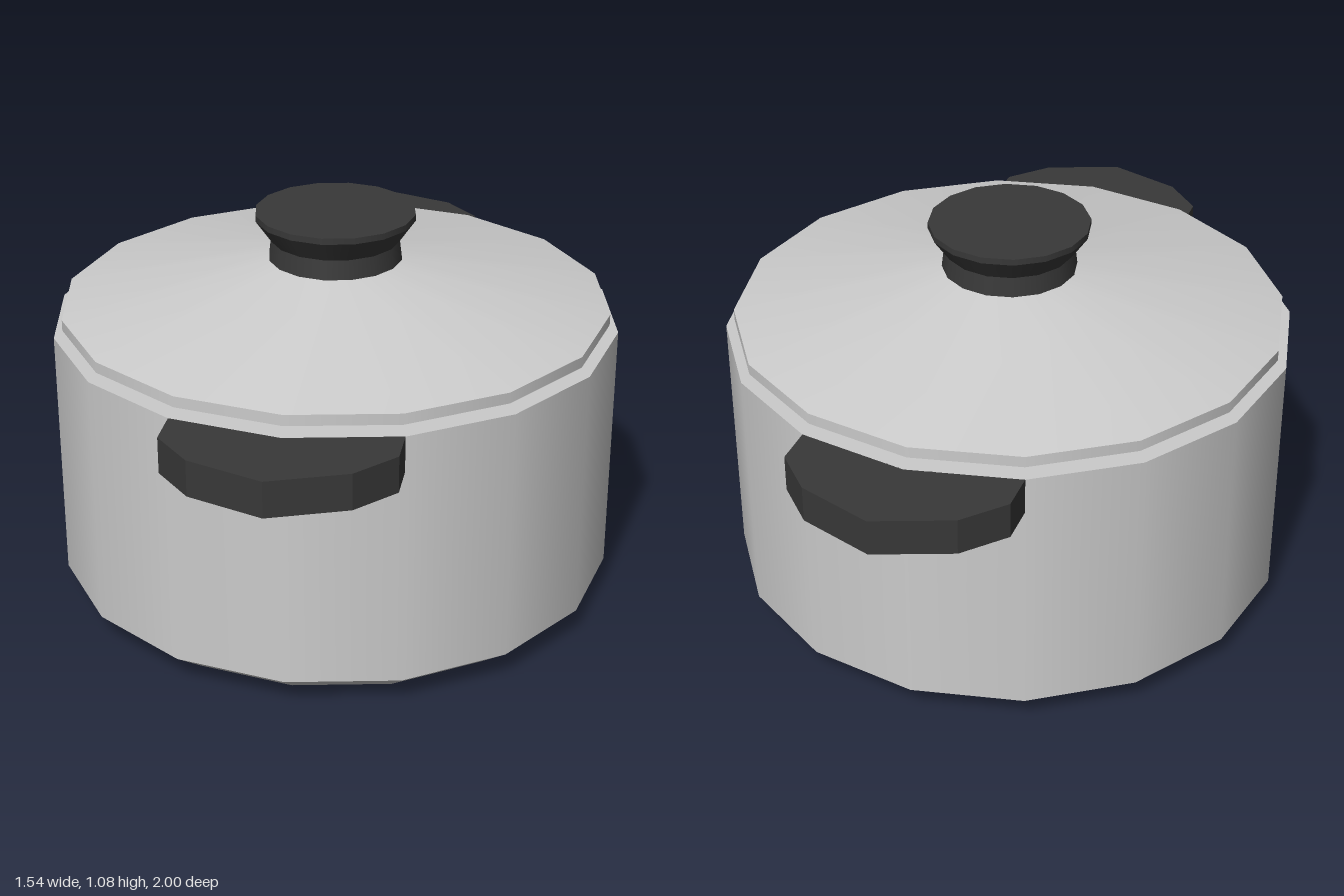
import * as THREE from 'three';
import { mergeGeometries } from 'three/addons/utils/BufferGeometryUtils.js';

const SIDES = 16;

// Turned part: smooth around the axis, a sharp edge at every profile corner
function turned(name, profile, material) {
  const bands = [];
  for (let i = 0; i < profile.length - 1; i++) {
    const pair = [profile[i], profile[i + 1]].map(([r, y]) => new THREE.Vector2(r, y));
    bands.push(new THREE.LatheGeometry(pair, SIDES));
  }
  const mesh = new THREE.Mesh(mergeGeometries(bands), material);
  mesh.name = name;
  return mesh;
}

export function createModel() {
  const group = new THREE.Group();
  group.name = 'cookingPot';
  const metal = new THREE.MeshStandardMaterial({ color: 0xcccccc });
  const dark = new THREE.MeshStandardMaterial({ color: 0x383838 });
  const darkFlat = new THREE.MeshStandardMaterial({ color: 0x383838, flatShading: true });

  // Hollow body: base, bevel, wall, rim, inner wall and floor
  group.add(turned('potBody', [
    [0, 0], [0.672, 0], [0.772, 0.075], [0.772, 0.775],
    [0.7, 0.775], [0.7, 0.075], [0, 0.075],
  ], metal));

  // Lid hovering just above the rim
  group.add(turned('lid', [
    [0, 0.795], [0.748, 0.795], [0.748, 0.825], [0.18, 0.947], [0, 0.947],
  ], metal));

  // Flared knob
  group.add(turned('lidKnob', [
    [0, 0.945], [0.183, 0.945], [0.176, 1.0], [0.218, 1.06], [0.218, 1.077], [0, 1.077],
  ], dark));

  // Side grips, their inner edge following the pot wall
  const outline = new THREE.Shape([
    [0.295, 0.713], [0.295, 0.82], [0.2, 0.925], [0, 1],
    [-0.2, 0.925], [-0.295, 0.82], [-0.295, 0.713], [0, 0.771],
  ].map(([x, y]) => new THREE.Vector2(x, y)));
  const gripGeometry = new THREE.ExtrudeGeometry(outline, { depth: 0.097, bevelEnabled: false });
  gripGeometry.rotateX(-Math.PI / 2).translate(0, 0.678, 0);
  ['backHandle', 'frontHandle'].forEach((name, i) => {
    const handle = new THREE.Mesh(gripGeometry, darkFlat);
    handle.name = name;
    handle.rotation.y = i * Math.PI;
    group.add(handle);
  });

  return group;
}
